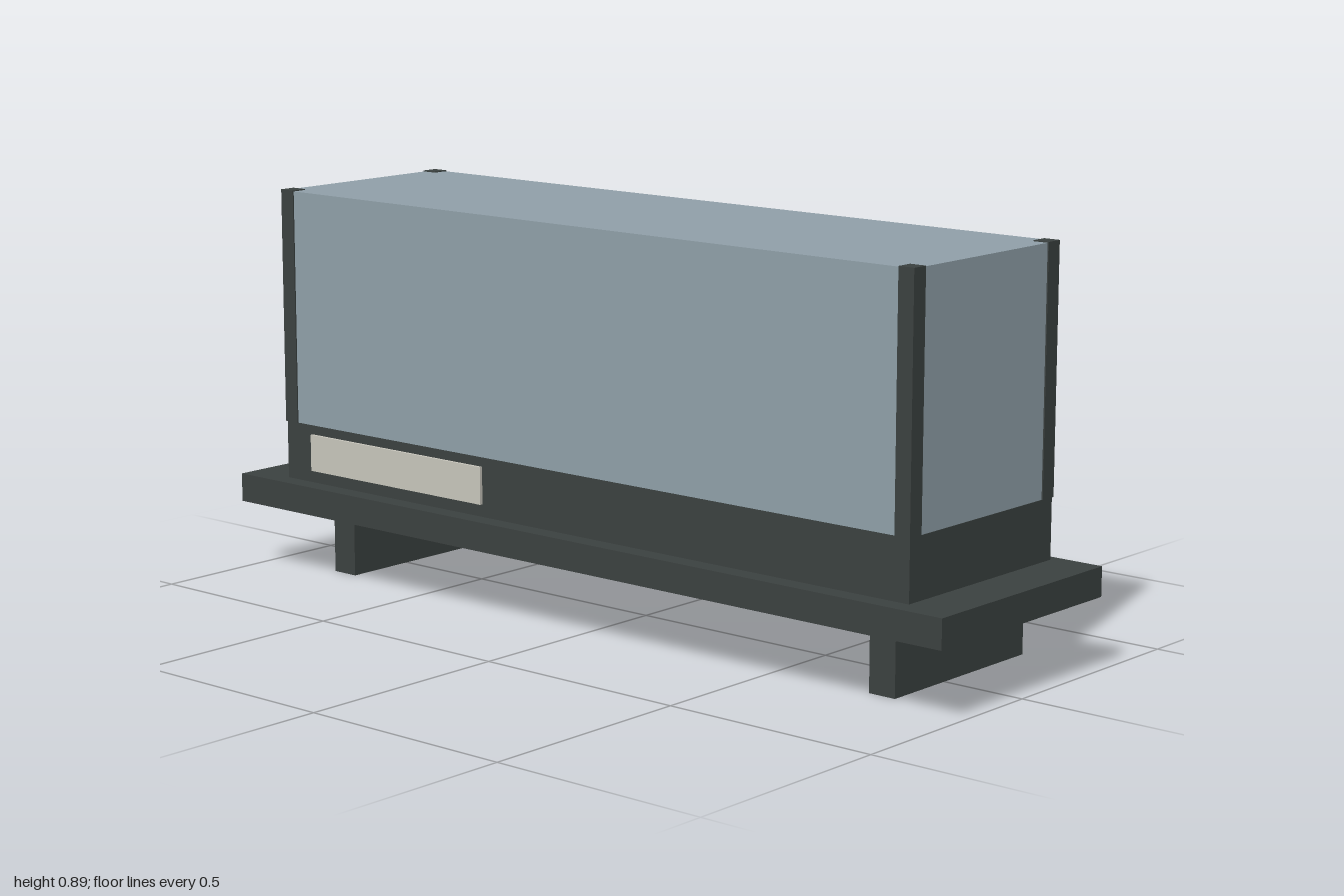
import * as THREE from 'three';

const mat = (name, color) => {
  const m = new THREE.MeshStandardMaterial({ color });
  m.name = name;
  return m;
};

export function createModel() {
  const group = new THREE.Group();
  const dark = mat('dark frame', 0x3b4140);
  const glass = mat('blue grey glass', 0x90a0a9);
  const pale = mat('pale label', 0xc8c6bc);

  // Box given by its limits on each axis
  const box = (name, material, [x0, x1], [y0, y1], [z0, z1]) => {
    const mesh = new THREE.Mesh(new THREE.BoxGeometry(x1 - x0, y1 - y0, z1 - z0), material);
    mesh.position.set((x0 + x1) / 2, (y0 + y1) / 2, (z0 + z1) / 2);
    mesh.name = name;
    group.add(mesh);
  };

  // Shelf slab and the plinth under the glass
  box('shelf', dark, [-1, 1], [0.157, 0.222], [-0.278, 0.278]);
  box('plinth', dark, [-0.888, 0.888], [0.222, 0.355], [-0.255, 0.234]);

  // Glass case
  box('glassCase', glass, [-0.887, 0.887], [0.355, 0.888], [-0.255, 0.234]);

  // Brackets below and corner posts around the case
  for (const side of [-1, 1]) {
    const name = side > 0 ? 'left' : 'right';
    const span = (a, b) => (side > 0 ? [a, b] : [-b, -a]);
    box(name + 'Bracket', dark, span(0.743, 0.808), [0, 0.157], [-0.278, 0.168]);
    box(name + 'FrontPost', dark, span(0.852, 0.89), [0.355, 0.89], [0.199, 0.237]);
    box(name + 'BackPost', dark, span(0.852, 0.89), [0.355, 0.89], [-0.258, -0.219]);
  }

  // Blank label plate on the front of the plinth
  box('labelPlate', pale, [-0.805, -0.27], [0.25, 0.334], [0.234, 0.241]);

  return group;
}
